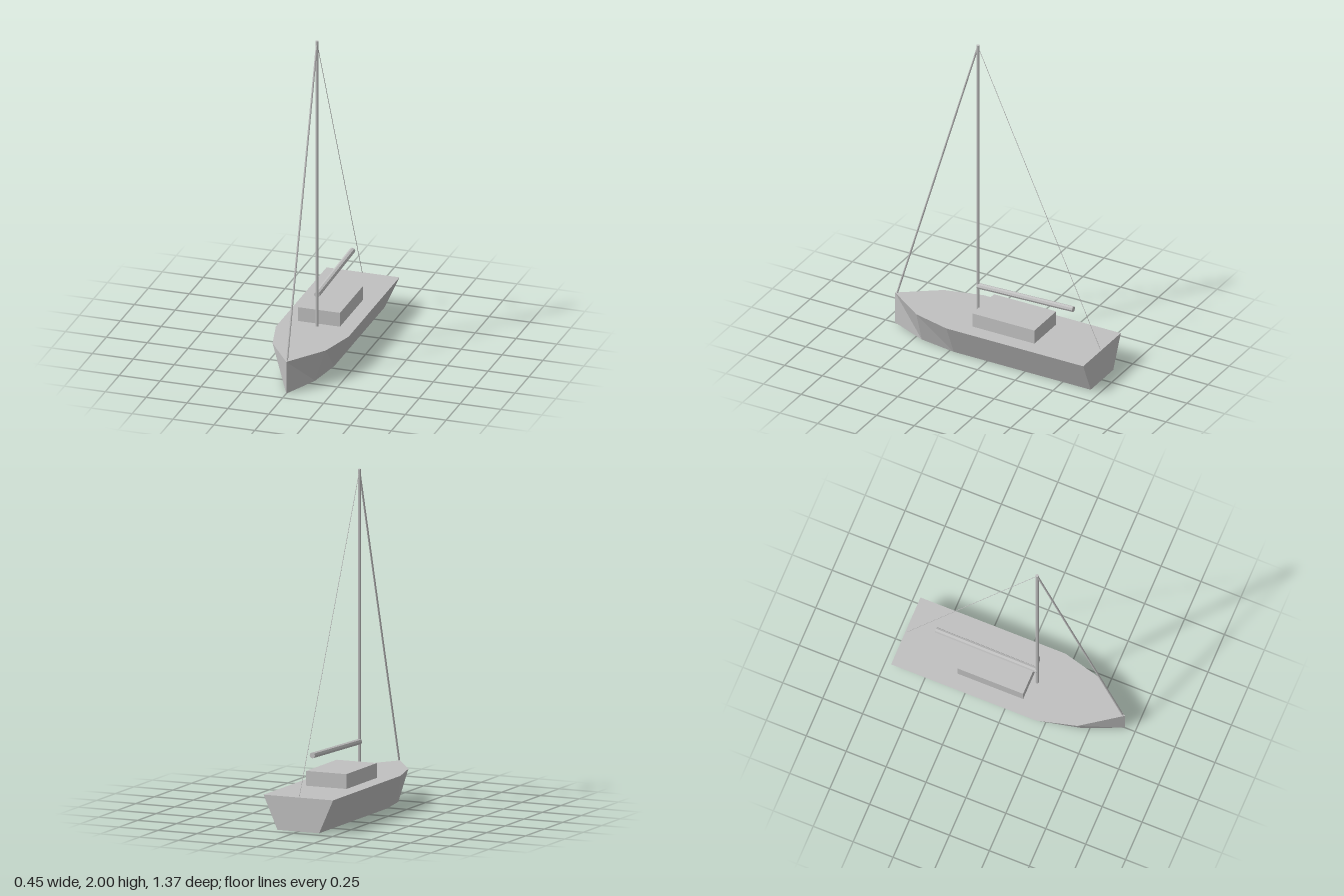
import * as THREE from 'three';

export function createModel() {
  const boat = new THREE.Group();
  boat.name = 'sailboat';
  const grey = new THREE.MeshStandardMaterial({ color: 0xc0c0c0 });
  grey.name = 'light grey';
  grey.flatShading = true;

  const add = (name, geometry) => {
    const mesh = new THREE.Mesh(geometry, grey);
    mesh.name = name;
    boat.add(mesh);
    return mesh;
  };

  // Straight spar or wire between two points on the centreline, given as [y, z]
  const spar = (name, from, to, radius, sides) => {
    const a = new THREE.Vector3(0, ...from);
    const b = new THREE.Vector3(0, ...to);
    const dir = b.clone().sub(a);
    const mesh = add(name, new THREE.CylinderGeometry(radius, radius, dir.length(), sides));
    mesh.position.copy(a).add(b).multiplyScalar(0.5);
    mesh.quaternion.setFromUnitVectors(new THREE.Vector3(0, 1, 0), dir.normalize());
  };

  // Hull: deck outline extruded upwards, with the bottom narrowed sideways
  const outline = [[0.223, -0.686], [0.223, 0.222], [0.163, 0.455], [0, 0.686],
    [-0.163, 0.455], [-0.223, 0.222], [-0.223, -0.686]];
  const deck = new THREE.Shape(outline.map(([x, z]) => new THREE.Vector2(x, -z)));
  const hull = new THREE.ExtrudeGeometry(deck, { depth: 0.2, bevelEnabled: false });
  hull.rotateX(-Math.PI / 2);
  const p = hull.attributes.position;
  for (let i = 0; i < p.count; i++) {
    if (p.getY(i) < 0.1) p.setX(i, p.getX(i) * 0.6);
  }
  hull.computeVertexNormals();
  add('hull', hull);

  // Cabin on the deck
  add('cabin', new THREE.BoxGeometry(0.258, 0.087, 0.412)).position.set(0, 0.2435, -0.104);

  // Mast, boom and stays
  spar('mast', [0.2, 0.137], [2, 0.137], 0.01, 8);
  spar('boom', [0.398, 0.137], [0.417, -0.497], 0.0175, 8);
  spar('forestay', [1.99, 0.137], [0.205, 0.672], 0.006, 8);
  spar('backstay', [1.99, 0.137], [0.2, -0.674], 0.0017, 6);

  return boat;
}
